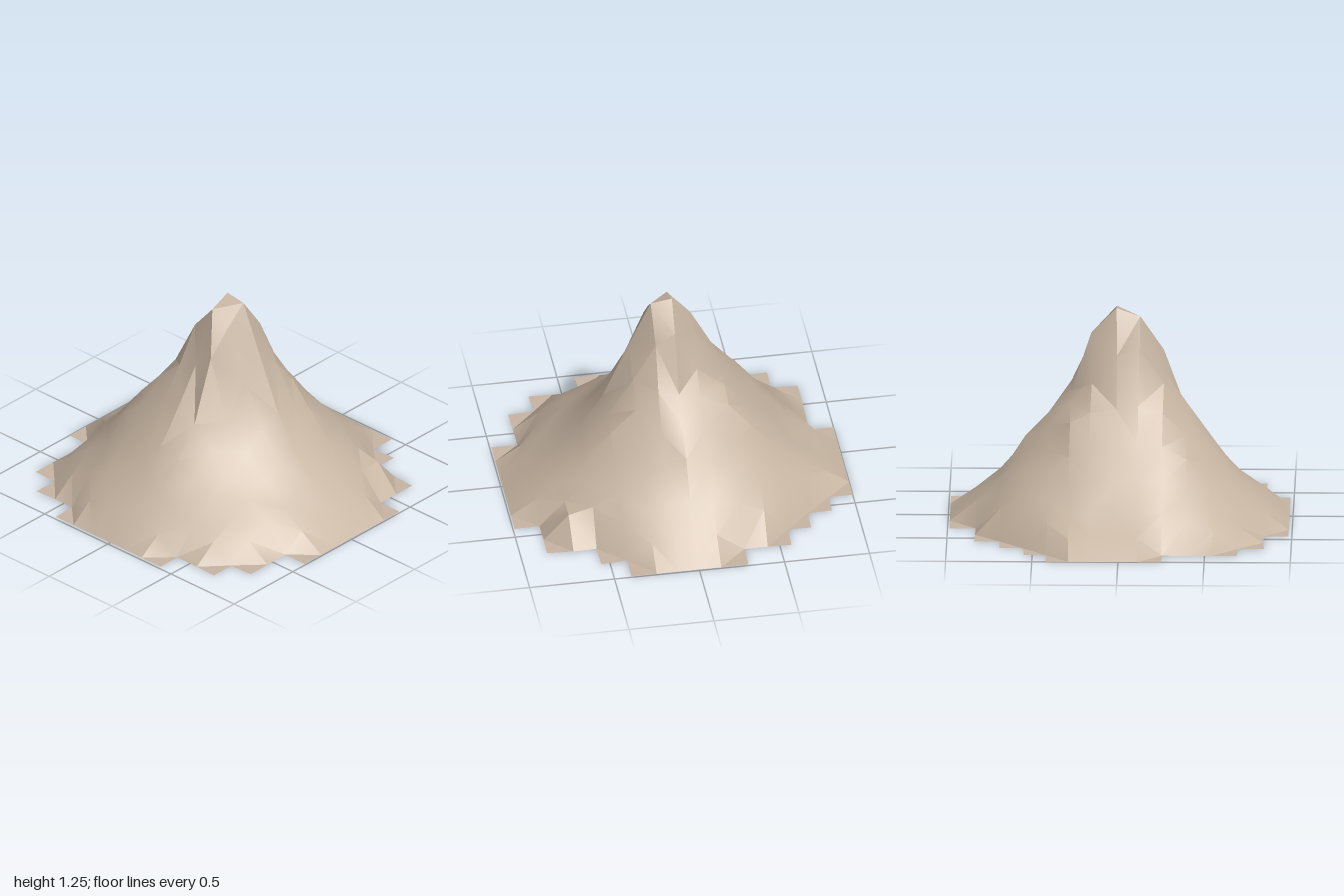
import * as THREE from 'three';
import { toCreasedNormals } from 'three/addons/utils/BufferGeometryUtils.js';

const N = 7; // grid cells from the centre to each side

// Slightly uneven grid lines from left to right and from back to front
const X_LINES = [-1, -0.86, -0.71, -0.57, -0.43, -0.29, -0.13, 0, 0.12, 0.25, 0.40, 0.55, 0.69, 0.84, 0.99];
const Z_LINES = [-0.99, -0.84, -0.69, -0.55, -0.42, -0.29, -0.17, -0.02, 0.11, 0.25, 0.39, 0.54, 0.69, 0.84, 0.98];

// Slope heights outward from the summit, one per compass direction (45 degree steps from +x to +z)
const SLOPES = [
  [1.25, 1.23, 0.94, 0.60, 0.39, 0.24, 0.12, 0],
  [1.25, 1.14, 0.83, 0.54, 0.37, 0.25, 0.14, 0],
  [1.25, 1.20, 0.90, 0.68, 0.46, 0.26, 0.14, 0],
  [1.25, 1.11, 0.87, 0.66, 0.51, 0.30, 0.15, 0],
  [1.25, 1.02, 0.74, 0.55, 0.36, 0.20, 0.11, 0],
  [1.25, 0.95, 0.74, 0.58, 0.42, 0.27, 0.14, 0],
  [1.25, 1.10, 0.76, 0.62, 0.48, 0.27, 0.13, 0],
  [1.25, 1.10, 0.83, 0.58, 0.42, 0.28, 0.15, 0],
];

// Ridges and gullies: grid column, grid row, height
const CRAGS = new Map([
  [-1, 1, 1.04], [-2, 1, 0.74], [-3, 1, 0.55], [-1, 0, 1.0], [-2, 0, 0.72], // left ridge
  [-1, -1, 0.83], [0, -2, 0.75], [-1, -2, 0.71], [-2, -2, 0.64], [-2, -3, 0.46], // back left hollow
  [1, -1, 1.03], [1, -2, 0.78], [2, -1, 0.80], [2, -2, 0.67], // back right ridge
  [3, -1, 0.57], [3, -2, 0.52], [3, -3, 0.38], [1, -4, 0.42], // back right shelf
  [0, 2, 0.88], [1, 1, 1.11], [1, 2, 0.97], // front gully
  [5, -4, 0.16], [5, -3, 0.16], [5, 3, 0.17], // foothills
].map(([i, j, h]) => [`${i},${j}`, h]));

// First and last grid line of each row of cells, from back to front: the stepped rim
const ROWS = [
  [-2, 3], [-4, 4], [-5, 6], [-6, 6], [-7, 7], [-7, 7], [-7, 7],
  [-7, 7], [-7, 7], [-6, 7], [-6, 6], [-6, 6], [-5, 5], [-3, 3],
];

const hasCell = (i, j) => {
  const row = ROWS[j + N];
  return row !== undefined && i >= row[0] && i < row[1];
};

const isInside = (i, j) =>
  hasCell(i, j) && hasCell(i - 1, j) && hasCell(i, j - 1) && hasCell(i - 1, j - 1);

// Small repeatable irregularity between -1 and 1
const noise = (i, j, k) => {
  const s = Math.sin(i * 12.9898 + j * 78.233 + k * 37.719) * 43758.5453;
  return 2 * (s - Math.floor(s)) - 1;
};

function slopeHeight(i, j) {
  const r = Math.min(Math.hypot(i, j), N - 0.001);
  const a = ((Math.atan2(j, i) / (Math.PI / 4)) + 8) % 8;
  const ring = Math.floor(r);
  const dir = Math.floor(a);
  const at = (d) => THREE.MathUtils.lerp(SLOPES[d % 8][ring], SLOPES[d % 8][ring + 1], r - ring);
  return THREE.MathUtils.lerp(at(dir), at(dir + 1), a - dir);
}

function gridPoint(i, j) {
  const jitter = Math.abs(i) === N || Math.abs(j) === N ? 0 : 0.005;
  const x = X_LINES[i + N] + jitter * noise(i, j, 1);
  const z = Z_LINES[j + N] + jitter * noise(i, j, 2);
  if (!isInside(i, j)) return [x, 0, z];
  const crag = CRAGS.get(`${i},${j}`);
  return [x, crag ?? Math.max(0.1, slopeHeight(i, j)), z];
}

function mountainGeometry() {
  const positions = [];
  const face = (...corners) => corners.forEach((p) => positions.push(...p));
  for (let j = -N; j < N; j++) {
    for (let i = -N; i < N; i++) {
      if (!hasCell(i, j)) continue;
      const a = gridPoint(i, j), b = gridPoint(i, j + 1);
      const c = gridPoint(i + 1, j + 1), d = gridPoint(i + 1, j);
      // Each cell is folded along its more level diagonal, so outer rim corners lie flat
      if (Math.abs(b[1] - d[1]) < Math.abs(a[1] - c[1])) {
        face(a, b, d);
        face(b, c, d);
      } else {
        face(a, b, c);
        face(a, c, d);
      }
    }
  }
  const geometry = new THREE.BufferGeometry();
  geometry.setAttribute('position', new THREE.Float32BufferAttribute(positions, 3));
  return toCreasedNormals(geometry, 0.45);
}

export function createModel() {
  const group = new THREE.Group();
  group.name = 'mountain';
  // Open shell, visible from below as well
  const rock = new THREE.MeshStandardMaterial({ color: 0xc7b5a2, side: THREE.DoubleSide });
  rock.name = 'tan rock';
  const slopes = new THREE.Mesh(mountainGeometry(), rock);
  slopes.name = 'mountainSlopes';
  group.add(slopes);
  return group;
}
